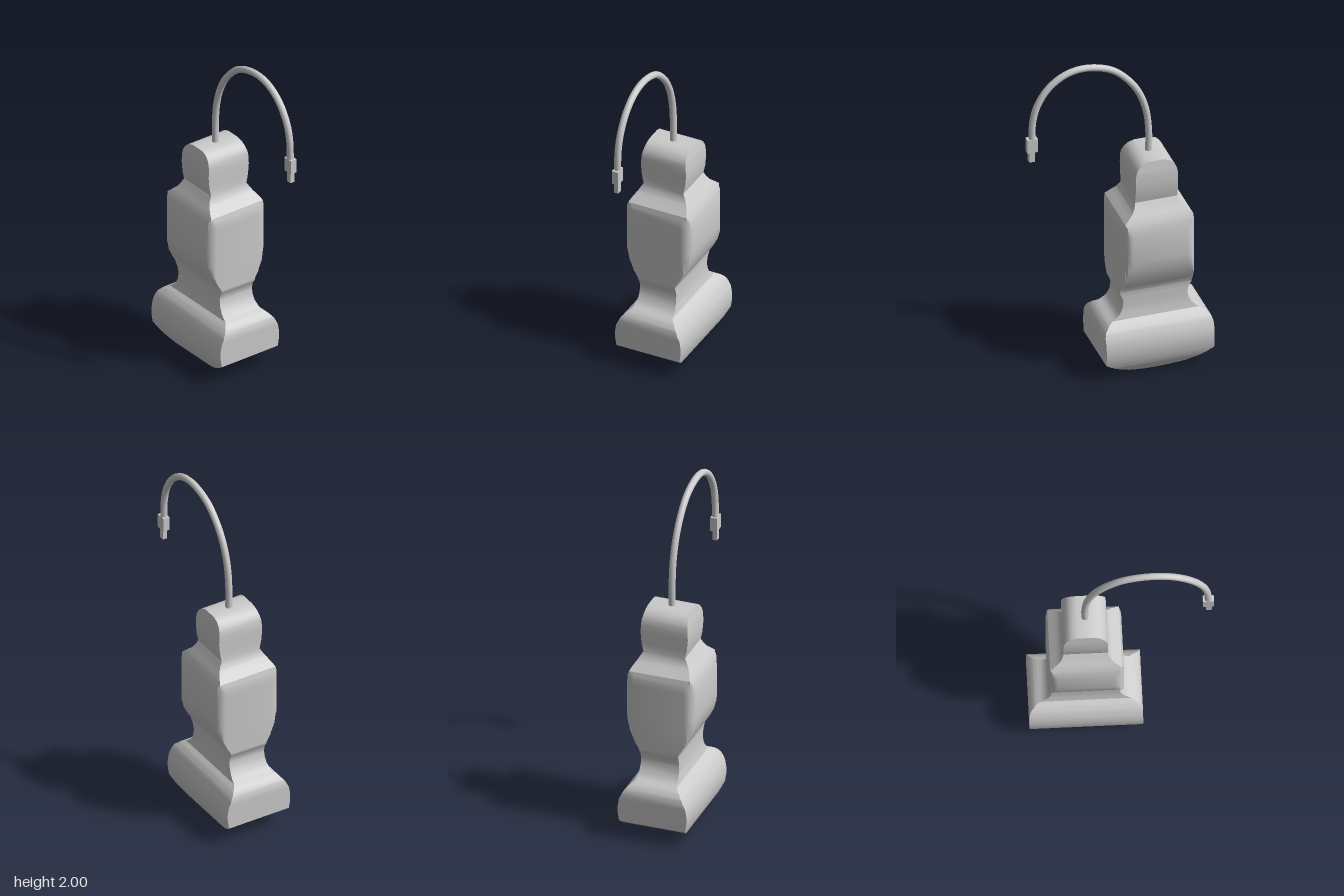
import * as THREE from 'three';
import { toCreasedNormals } from 'three/addons/utils/BufferGeometryUtils.js';

const CX = -0.207; // centre line of the handheld body

// Half width (x) and half depth (z) of the body at each height
const WIDTH = [
  [0, 0], [0.005, 0.072], [0.02, 0.143], [0.05, 0.223], [0.08, 0.277], [0.11, 0.32], [0.28, 0.32],
  [0.31, 0.31], [0.335, 0.285], [0.36, 0.24], [0.385, 0.212], [0.42, 0.195], [0.46, 0.19], [0.49, 0.198],
  [0.52, 0.213], [0.97, 0.213], [1.01, 0.202], [1.035, 0.175], [1.06, 0.147], [1.085, 0.132], [1.11, 0.125],
  [1.28, 0.125], [1.31, 0.118], [1.335, 0.103], [1.355, 0.08], [1.367, 0.045],
];
const DEPTH = [
  [0, 0.125], [0.03, 0.155], [0.07, 0.182], [0.11, 0.198], [0.16, 0.206], [0.2, 0.207], [0.25, 0.199],
  [0.3, 0.175], [0.33, 0.15], [0.35, 0.125], [0.39, 0.117], [0.45, 0.114], [0.5, 0.114], [0.53, 0.118],
  [0.57, 0.143], [0.63, 0.175], [0.7, 0.198], [0.76, 0.207], [0.93, 0.207], [0.99, 0.193], [1.03, 0.173],
  [1.07, 0.148], [1.11, 0.125], [1.16, 0.136], [1.23, 0.142], [1.3, 0.138], [1.367, 0.127],
];

function sample(profile, y) {
  for (let i = 1; i < profile.length; i++) {
    const [y0, v0] = profile[i - 1], [y1, v1] = profile[i];
    if (y <= y1) return v0 + (v1 - v0) * (y - y0) / (y1 - y0);
  }
  return profile[profile.length - 1][1];
}

// Rectangular section; the grip is also trimmed by a rounded plan outline
function section(y) {
  const hx = sample(WIDTH, y), hz = sample(DEPTH, y), steps = 5, ring = [];
  const signs = [[1, 1], [-1, 1], [-1, -1], [1, -1]];
  signs.forEach(([sx, sz], q) => {
    for (let k = 0; k <= steps; k++) {
      const a = (q % 2 ? steps - k : k) / steps * Math.PI / 2;
      const rx = y > 0.45 ? 0.16 + 0.053 * Math.cos(a) : 1;
      const rz = y > 0.45 ? 0.15 + 0.057 * Math.sin(a) : 1;
      ring.push(new THREE.Vector3(CX + sx * Math.min(hx, rx), y, sz * Math.min(hz, rz)));
    }
  });
  return ring;
}

function bodyGeometry() {
  const ys = [...new Set([...WIDTH, ...DEPTH].map(p => p[0]))].sort((a, b) => a - b);
  const rings = ys.map(section);
  const pos = [];
  const tri = (a, b, c) => { // skips collapsed triangles
    if (new THREE.Triangle(a, b, c).getArea() > 1e-8) pos.push(...a.toArray(), ...b.toArray(), ...c.toArray());
  };
  const n = rings[0].length;
  for (let i = 0; i < rings.length - 1; i++) {
    for (let j = 0; j < n; j++) {
      const k = (j + 1) % n, lo = rings[i], hi = rings[i + 1];
      tri(lo[j], hi[j], hi[k]);
      tri(lo[j], hi[k], lo[k]);
    }
  }
  // Flat top cap
  const top = rings[rings.length - 1], mid = new THREE.Vector3(CX, top[0].y, 0);
  for (let j = 0; j < n; j++) tri(mid, top[(j + 1) % n], top[j]);
  const geo = new THREE.BufferGeometry();
  geo.setAttribute('position', new THREE.Float32BufferAttribute(pos, 3));
  return toCreasedNormals(geo, THREE.MathUtils.degToRad(28));
}

export function createModel() {
  const group = new THREE.Group();
  group.name = 'scannerProbe';
  const grey = new THREE.MeshStandardMaterial({ color: 0xcccccc });
  const add = (name, geometry, x = 0, y = 0, z = 0) => {
    const mesh = new THREE.Mesh(geometry, grey);
    mesh.name = name;
    mesh.position.set(x, y, z);
    group.add(mesh);
  };

  add('probeBody', bodyGeometry());

  // Cable arching over to the side
  const path = new THREE.CatmullRomCurve3([
    [-0.205, 1.35], [-0.205, 1.5], [-0.19, 1.63], [-0.15, 1.75], [-0.085, 1.85], [0.02, 1.94],
    [0.17, 1.98], [0.29, 1.96], [0.39, 1.89], [0.455, 1.79], [0.482, 1.69], [0.488, 1.57],
  ].map(([x, y]) => new THREE.Vector3(x, y, 0)));
  add('cable', new THREE.TubeGeometry(path, 64, 0.02, 12));

  // Plug at the cable end
  add('plugHousing', new THREE.BoxGeometry(0.062, 0.085, 0.04), 0.489, 1.5375);
  add('plugTip', new THREE.BoxGeometry(0.033, 0.07, 0.028), 0.491, 1.465);
  return group;
}
